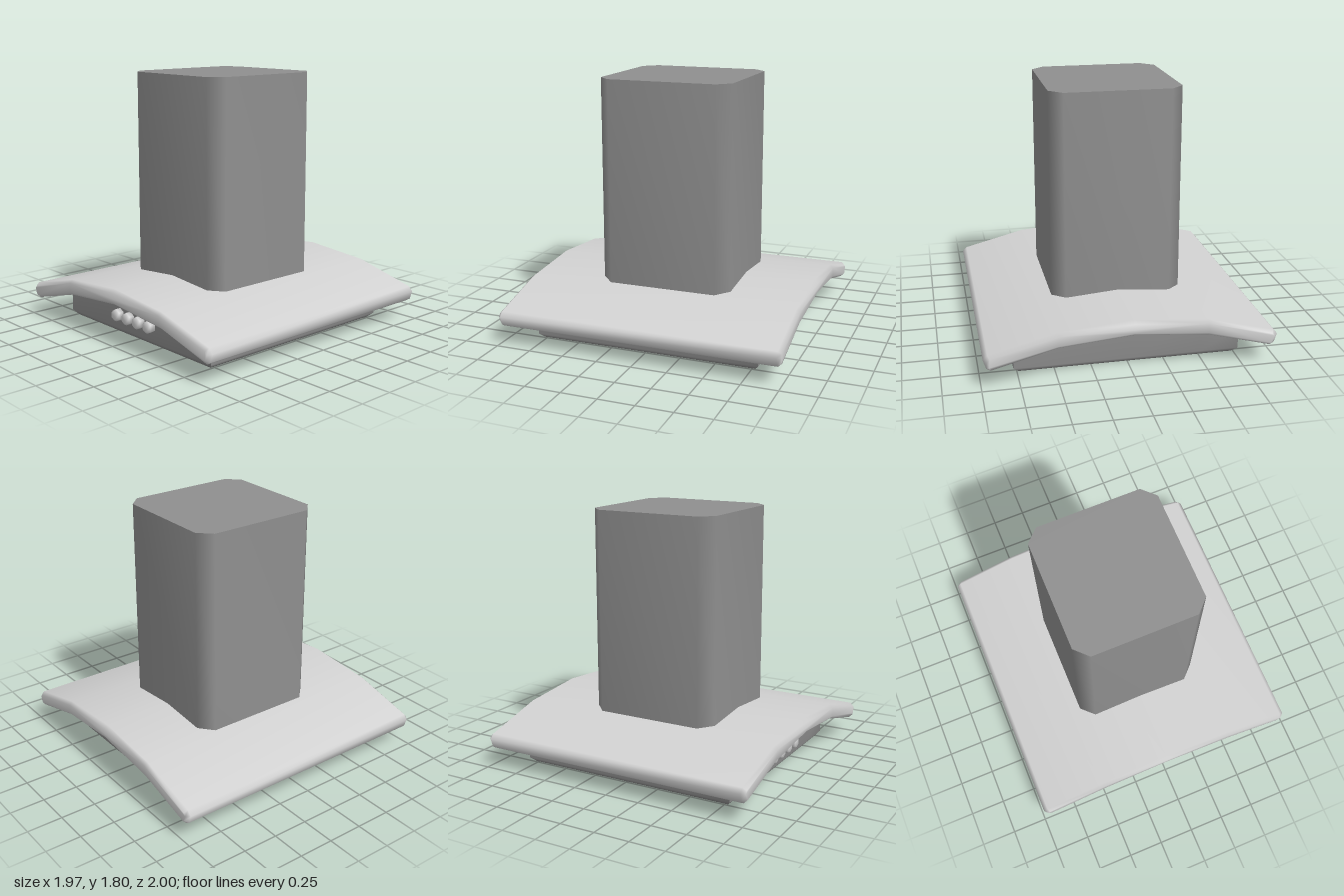
import * as THREE from 'three';
import { mergeVertices } from 'three/addons/utils/BufferGeometryUtils.js';

const steel = new THREE.MeshStandardMaterial({ color: 0x8f8f8f });
steel.name = 'brushed steel grey';
const pale = new THREE.MeshStandardMaterial({ color: 0xd2d2d2 });
pale.name = 'pale grey';

function part(name, geometry, material) {
  const mesh = new THREE.Mesh(geometry, material);
  mesh.name = name;
  return mesh;
}

// Weld corners so that bevels shade smoothly into the large faces
function smooth(geometry) {
  geometry.deleteAttribute('uv');
  geometry.deleteAttribute('normal');
  const welded = mergeVertices(geometry, 1e-4);
  welded.computeVertexNormals();
  return welded;
}

// Grid of quads from rows of points; each row has the same length
function grid(rows) {
  const n = rows[0].length, index = [];
  for (let r = 0; r < rows.length - 1; r++) {
    for (let i = 0; i < n - 1; i++) {
      const a = r * n + i, b = a + 1, c = a + n, d = c + 1;
      index.push(a, b, d, a, d, c);
    }
  }
  const g = new THREE.BufferGeometry();
  g.setAttribute('position', new THREE.Float32BufferAttribute(rows.flat(2), 3));
  g.setIndex(index);
  g.computeVertexNormals();
  return g;
}

// Height of the canopy's underside
function arch(x) {
  const a = Math.abs(x);
  return a < 0.5 ? 0.288 - 0.086 * a : 0.245 - 0.264 * (a - 0.5);
}

// Bent canopy slab with a bevelled rim
function makeCanopy() {
  const half = [[0.5, 0.357], [0.955, 0.24], [0.985, 0.207], [0.965, 0.148], [0.937, 0.13], [0.5, 0.246]];
  const outline = [[0, 0.398], ...half, [0, 0.289], ...half.map(([x, y]) => [-x, y]).reverse()];
  const shape = new THREE.Shape(outline.map(([x, y]) => new THREE.Vector2(x, y)));
  const g = new THREE.ExtrudeGeometry(shape, {
    depth: 1.95, bevelEnabled: true, bevelSegments: 1,
    bevelSize: 0.022, bevelOffset: -0.022, bevelThickness: 0.025,
  });
  g.translate(0, 0, -0.975);
  return part('canopy', smooth(g), pale);
}

// Chimney with cut corners and a flat cap
function makeChimney() {
  const w = 0.455, d = 0.475, c = 0.09, bottom = 0.33, top = 1.8;
  const outline = [
    [w, -d + c], [w, d - c], [w - c, d], [-w + c, d],
    [-w, d - c], [-w, -d + c], [-w + c, -d], [w - c, -d],
  ];
  const loop = [...outline, outline[0]];
  const walls = smooth(grid([bottom, top].map((y) => loop.map(([x, z]) => [x, y, z]))));
  // Wall quads run clockwise seen from above, so turn them outward
  const idx = walls.index.array;
  for (let i = 0; i < idx.length; i += 3) [idx[i], idx[i + 1]] = [idx[i + 1], idx[i]];
  walls.computeVertexNormals();
  const cap = new THREE.ShapeGeometry(new THREE.Shape(outline.map(([x, z]) => new THREE.Vector2(x, -z))));
  cap.rotateX(-Math.PI / 2).translate(0, top, 0);
  const group = new THREE.Group();
  group.name = 'chimney';
  group.add(part('chimneyWalls', walls, steel), part('chimneyCap', cap, steel));
  return group;
}

// Lower housing: a bottom frame, a bevel and a wall on every side
function makeHousing() {
  const group = new THREE.Group();
  group.name = 'housing';
  const rings = [[0.575, 0.605, 0], [0.737, 0.77, 0], [0.775, 0.8, 0.035], [0.775, 0.8, null]];
  const steps = [-1, -0.645, 0, 0.645, 1];
  const sides = {
    frontWall: (t) => [t, 1], rightWall: (t) => [-1, t],
    backWall: (t) => [-t, -1], leftWall: (t) => [1, -t],
  };
  for (const [name, at] of Object.entries(sides)) {
    const rows = rings.map(([w, d, y]) => steps.map((t) => {
      const [x, z] = at(t);
      return [x * w, y ?? arch(x * w) + 0.005, z * d];
    }));
    group.add(part(name, grid(rows), steel));
  }
  // Arched panel above the opening, facing down
  const ceiling = grid([-0.8, 0.8].map((z) => steps.map((t) => [t * 0.775, arch(t * 0.775) - 0.005, z])));
  group.add(part('filterPanel', ceiling, steel));
  return group;
}

// Six-sided control knobs
function makeKnobs() {
  const group = new THREE.Group();
  group.name = 'knobs';
  const profile = [[0, 0], [0.045, 0], [0.045, 0.038], [0.032, 0.056], [0, 0.056]];
  const g = new THREE.LatheGeometry(profile.map(([r, y]) => new THREE.Vector2(r, y)), 6);
  g.rotateX(Math.PI / 2);
  for (let i = 0; i < 4; i++) {
    const knob = part('knob' + (i + 1), g, pale);
    knob.position.set((i - 1.5) * 0.117, 0.143, 0.803);
    group.add(knob);
  }
  return group;
}

export function createModel() {
  const model = new THREE.Group();
  model.name = 'cookerHood';
  model.add(makeCanopy(), makeChimney(), makeHousing(), makeKnobs());
  return model;
}
